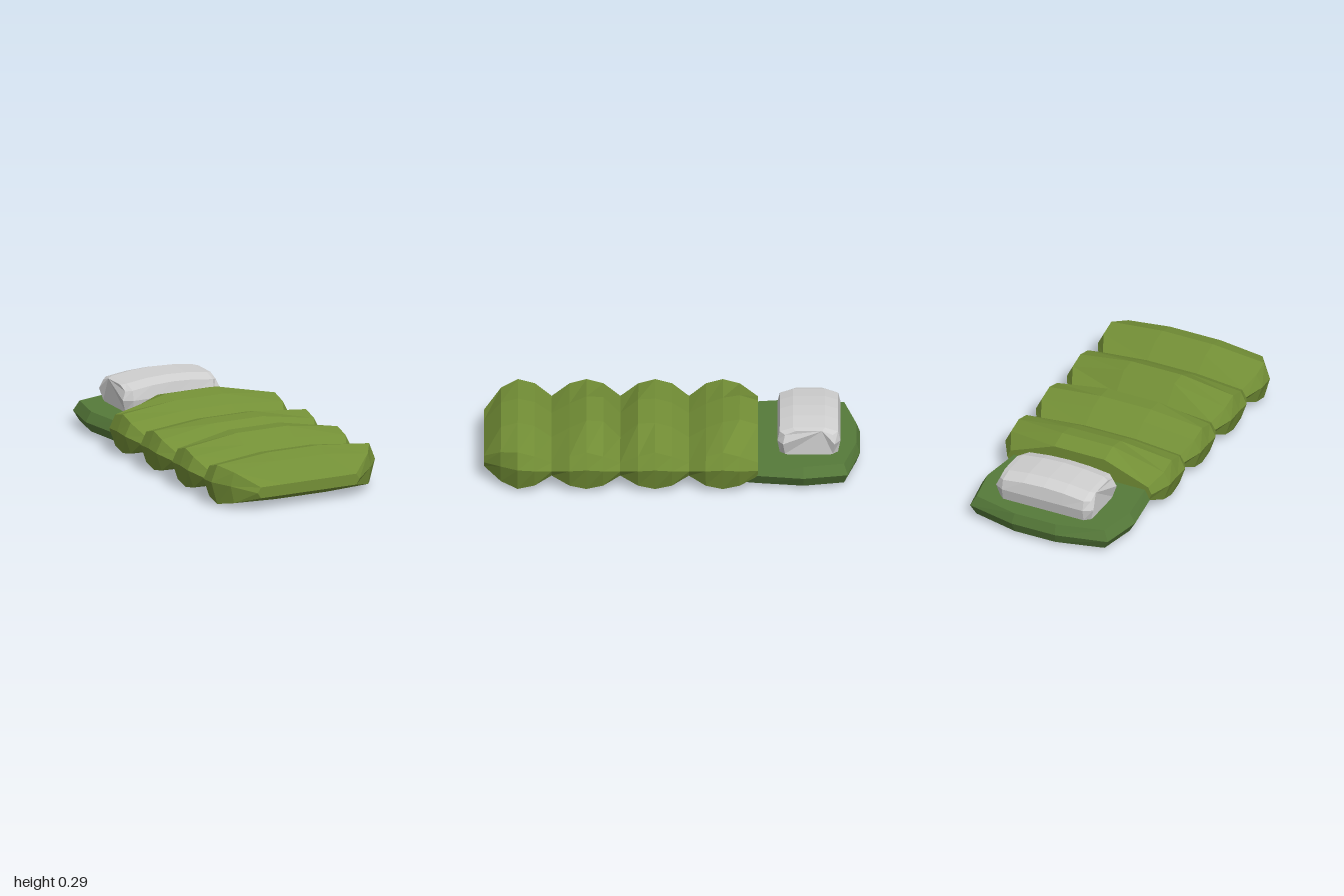
import * as THREE from 'three';

const mat = (name, color) => {
  const m = new THREE.MeshStandardMaterial({ color, flatShading: true });
  m.name = name;
  return m;
};

// Skins a list of closed rings (equal point counts) and caps both ends.
function loft(rings) {
  const pos = [];
  const tri = (...pts) => pts.forEach(p => pos.push(...p));
  const n = rings[0].length;
  for (let i = 0; i < rings.length - 1; i++) {
    for (let j = 0; j < n; j++) {
      const k = (j + 1) % n, a = rings[i], b = rings[i + 1];
      tri(a[j], a[k], b[k]);
      tri(a[j], b[k], b[j]);
    }
  }
  const first = rings[0], last = rings[rings.length - 1];
  for (let j = 1; j < n - 1; j++) {
    tri(first[0], first[j + 1], first[j]);
    tri(last[0], last[j], last[j + 1]);
  }
  // Turn the faces outward when the signed volume is negative
  let volume = 0;
  for (let i = 0; i < pos.length; i += 9) {
    const [a, b, c] = [0, 3, 6].map(o => new THREE.Vector3().fromArray(pos, i + o));
    volume += a.dot(b.cross(c));
  }
  if (volume < 0) {
    for (let i = 0; i < pos.length; i += 9) {
      for (let k = 0; k < 3; k++) {
        [pos[i + 3 + k], pos[i + 6 + k]] = [pos[i + 6 + k], pos[i + 3 + k]];
      }
    }
  }
  const g = new THREE.BufferGeometry();
  g.setAttribute('position', new THREE.Float32BufferAttribute(pos, 3));
  g.computeVertexNormals();
  return g;
}

// Quilted body: four puffed rolls with pinched seams between them
function bodyGeometry() {
  const ring = (z, w, c, top, sideTop, mid, sideBot, bot, flat = 0.15) => [
    [w, mid, z], [c, sideTop, z], [flat, top, z], [-flat, top, z], [-c, sideTop, z],
    [-w, mid, z], [-c, sideBot, z], [-flat, bot, z], [flat, bot, z], [c, sideBot, z],
  ];
  const seam = z => ring(z, 0.44, 0.415, 0.175, 0.15, 0.11, 0.075, 0.07);
  const puff = (z, top) => ring(z, 0.49, 0.455, top, 0.23, 0.14, 0.015, 0.002);
  const slope = (z, top) => ring(z, 0.49, 0.455, top, 0.205, 0.135, 0.035, 0.025);
  return loft([
    ring(1, 0.305, 0.285, 0.13, 0.13, 0.1, 0.07, 0.07),
    ring(0.91, 0.42, 0.4, 0.235, 0.205, 0.13, 0.035, 0.025),
    puff(0.82, 0.26), slope(0.73, 0.24), seam(0.64),
    slope(0.545, 0.23), puff(0.455, 0.273), slope(0.365, 0.268), seam(0.275),
    slope(0.18, 0.255), puff(0.09, 0.26), slope(0, 0.235), seam(-0.09),
    slope(-0.18, 0.23), puff(-0.27, 0.265), slope(-0.36, 0.28),
    ring(-0.457, 0.43, 0.41, 0.25, 0.15, 0.11, 0.07, 0.06),
  ]);
}

// Flat hood: a plan outline with a bevelled rim
function hoodGeometry() {
  const half = [[0.4, -0.36], [0.42, -0.46], [0.455, -0.7], [0.41, -0.935], [0.13, -1]];
  const outline = [...half, ...half.slice().reverse().map(([x, z]) => [-x, z])];
  const level = (y, s, back) => outline.map(([x, z]) =>
    [x * s, y, z < -0.8 ? z + back : z]);
  return loft([level(0.02, 0.93, 0.02), level(0.075, 1, 0), level(0.13, 0.93, 0.02)]);
}

// Pillow: an arched eight-sided roll, narrowing at both ends
function pillowGeometry() {
  const slice = (x, top, depth, bulge = 0) => [
    [-0.085, top, 0], [-0.155, top - 0.022, 0], [-0.168, 0.2, 1], [-0.155, 0.135, 0],
    [-0.085, 0.12, 0], [0.085, 0.12, 0], [0.155, 0.135, 0], [0.168, 0.2, 1],
    [0.155, top - 0.022, 0], [0.085, top, 0],
  ].map(([z, y, m]) => [x + m * bulge, y, -0.728 + z * depth]);
  return loft([
    slice(-0.27, 0.268, 0.82, -0.02), slice(-0.24, 0.275, 1), slice(-0.12, 0.29, 1),
    slice(0, 0.295, 1),
    slice(0.12, 0.29, 1), slice(0.24, 0.275, 1), slice(0.27, 0.268, 0.82, 0.02),
  ]);
}

export function createModel() {
  const group = new THREE.Group();
  group.name = 'sleepingBag';
  const add = (name, geometry, material) => {
    const mesh = new THREE.Mesh(geometry, material);
    mesh.name = name;
    group.add(mesh);
  };
  add('quiltedBody', bodyGeometry(), mat('olive green', 0x738f36));
  add('hood', hoodGeometry(), mat('dark green', 0x567a3a));
  add('pillow', pillowGeometry(), mat('light grey', 0xcfcfcf));
  return group;
}
